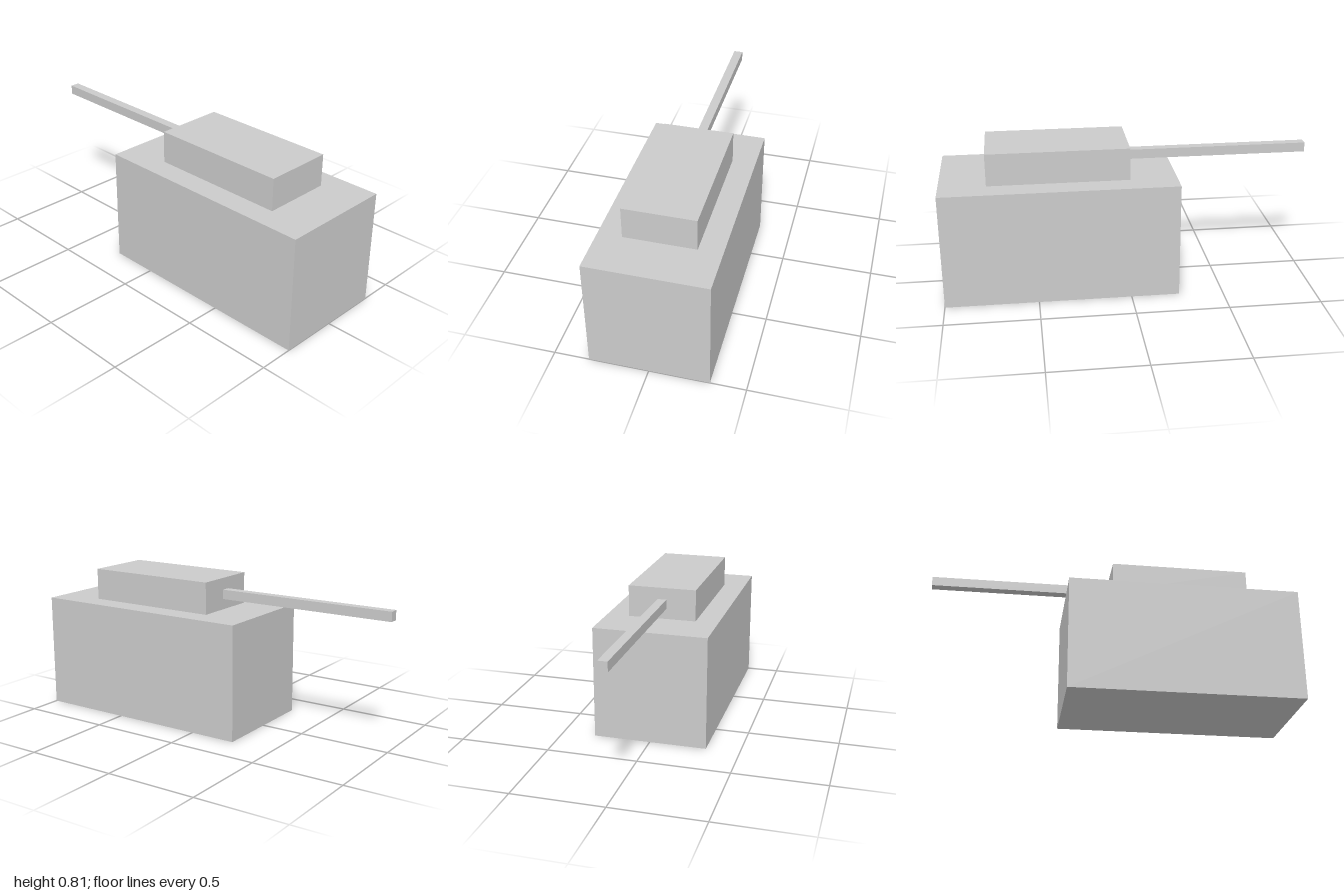
import * as THREE from 'three';

const material = new THREE.MeshStandardMaterial({ color: 0xcccccc, flatShading: true });

// Box given by its width (centred on x) and its y and z extents
function block(name, width, [y0, y1], [z0, z1]) {
  const mesh = new THREE.Mesh(new THREE.BoxGeometry(width, y1 - y0, z1 - z0), material);
  mesh.name = name;
  mesh.position.set(0, (y0 + y1) / 2, (z0 + z1) / 2);
  return mesh;
}

export function createModel() {
  const group = new THREE.Group();
  group.name = 'tank';
  group.add(
    block('hull', 0.63, [0, 0.63], [-0.26, 1]),
    block('turret', 0.378, [0.63, 0.805], [-0.007, 0.75]),
    // The barrel points to the back, starting at the turret wall
    block('barrel', 0.05, [0.688, 0.74], [-1, -0.007]),
  );
  return group;
}
